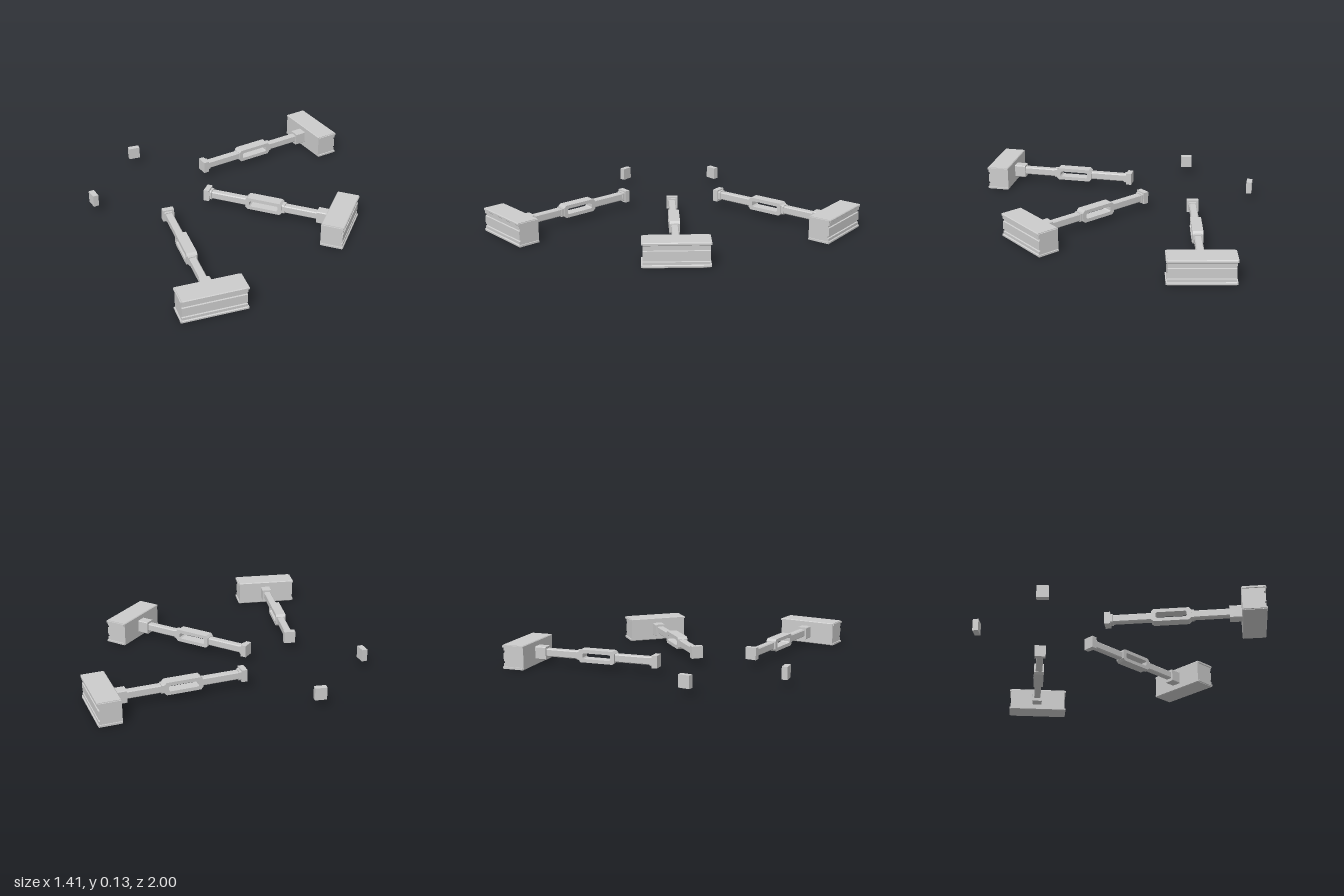
import * as THREE from 'three';

const material = new THREE.MeshStandardMaterial({ color: 0xcccccc, flatShading: true });
const MID_Y = 0.07;

function add(group, name, geometry, x = 0, y = 0, z = 0) {
  const mesh = new THREE.Mesh(geometry, material);
  mesh.name = name;
  mesh.position.set(x, y, z);
  group.add(mesh);
  return mesh;
}

// Side outline (x, y) extruded across z, centred
function sideExtrude(points, width, hole) {
  const shape = new THREE.Shape(points.map(p => new THREE.Vector2(...p)));
  if (hole) shape.holes.push(new THREE.Path(hole.map(p => new THREE.Vector2(...p))));
  return new THREE.ExtrudeGeometry(shape, { depth: width, bevelEnabled: false })
    .translate(0, 0, -width / 2);
}

// Rectangle with cut corners
function cutRect(x0, x1, y0, y1, c) {
  return [[x0 + c, y0], [x1 - c, y0], [x1, y0 + c], [x1, y1 - c],
    [x1 - c, y1], [x0 + c, y1], [x0, y1 - c], [x0, y0 + c]];
}

// Beam with cut edges running along x
function beam(length, height, width, cut) {
  return sideExtrude(cutRect(-width / 2, width / 2, -height / 2, height / 2, cut), length)
    .rotateY(Math.PI / 2);
}

// Flat end plate facing the hub
function endPlate(group) {
  add(group, 'endPlate', new THREE.BoxGeometry(0.03, 0.066, 0.062), 0.345, MID_Y);
}

function hammerArm() {
  const arm = new THREE.Group();
  endPlate(arm);
  add(arm, 'endCollar', beam(0.014, 0.052, 0.048, 0.006), 0.366, MID_Y);
  // Shaft halves stop at the slotted sleeve
  for (const [a, b] of [[0.36, 0.582], [0.765, 0.975]])
    add(arm, 'shaft', beam(b - a, 0.042, 0.038, 0.005), (a + b) / 2, MID_Y);
  add(arm, 'slottedSleeve', sideExtrude(
    cutRect(0.57, 0.775, 0.036, 0.105, 0.012), 0.056,
    cutRect(0.592, 0.752, 0.055, 0.086, 0.006)));
  add(arm, 'sleeveRing', beam(0.016, 0.052, 0.046, 0.006), 0.781, MID_Y);
  add(arm, 'headCollar', beam(0.066, 0.07, 0.056, 0.004), 1.001, MID_Y - 0.003);

  // Head: grooved outer face between two lips
  add(arm, 'head', sideExtrude([
    [1.03, 0.004], [1.034, 0], [1.148, 0], [1.152, 0.004], [1.152, 0.012], [1.147, 0.016],
    [1.147, 0.03], [1.14, 0.032], [1.14, 0.04], [1.147, 0.042],
    [1.147, 0.086], [1.14, 0.088], [1.14, 0.098], [1.147, 0.1],
    [1.147, 0.114], [1.152, 0.118], [1.152, 0.127], [1.148, 0.131],
    [1.034, 0.131], [1.03, 0.127]], 0.328), 0, 0, 0.004);
  // Lips along the upper and lower edges of each end
  for (const z of [-0.163, 0.171])
    for (const y of [0.008, 0.123])
      add(arm, 'headLip', new THREE.BoxGeometry(0.116, 0.01, 0.008), 1.091, y, z);
  return arm;
}

export function createModel() {
  const model = new THREE.Group();
  model.name = 'radialHammers';
  const place = (group, name, degrees) => {
    group.name = name;
    group.position.set(-0.45, 0, -0.005);
    group.rotation.y = THREE.MathUtils.degToRad(degrees);
    model.add(group);
  };
  // Three hammers fan out from the hub centre
  place(hammerArm(), 'rightHammer', -51);
  place(hammerArm(), 'middleHammer', 0);
  place(hammerArm(), 'backHammer', 51);
  // Two loose plates complete the ring
  for (const degrees of [-130, 130]) {
    const plate = new THREE.Group();
    endPlate(plate);
    place(plate, 'loosePlate', degrees);
  }
  return model;
}
